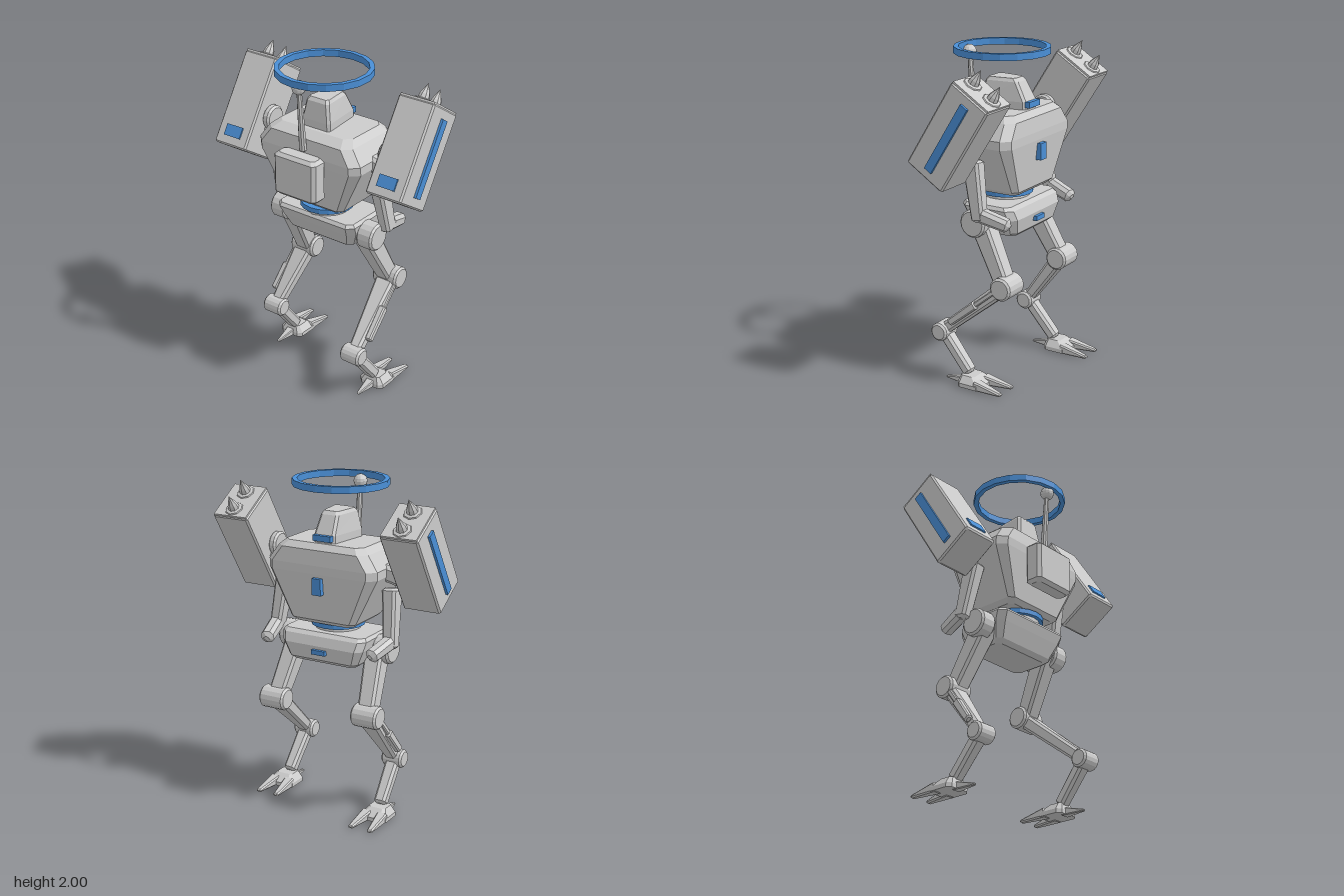
import * as THREE from 'three';

const grey = new THREE.MeshStandardMaterial({ color: 0xcccccc, flatShading: true });
const blue = new THREE.MeshStandardMaterial({ color: 0x4a8fd6, flatShading: true });
const V = (x, y, z) => new THREE.Vector3(x, y, z);

function add(parent, name, geometry, material = grey, x = 0, y = 0, z = 0) {
  const mesh = new THREE.Mesh(geometry, material);
  mesh.name = name;
  mesh.position.set(x, y, z);
  parent.add(mesh);
  return mesh;
}

// Stack of corner-cut rectangles: [y, half width, back z, front z, corner cut, half width at back z]
function loft(levels) {
  const rings = levels.map(([y, h, z0, z1, c, b = h]) => [
    V(-h + c, y, z1), V(h - c, y, z1), V(h, y, z1 - c), V(b, y, z0 + c),
    V(b - c, y, z0), V(-b + c, y, z0), V(-b, y, z0 + c), V(-h, y, z1 - c)]);
  const pos = [];
  const tri = (...pts) => pts.forEach(p => pos.push(p.x, p.y, p.z));
  for (let k = 0; k < rings.length - 1; k++) {
    for (let i = 0; i < 8; i++) {
      const j = (i + 1) % 8, lo = rings[k], hi = rings[k + 1];
      tri(lo[i], lo[j], hi[j]);
      tri(lo[i], hi[j], hi[i]);
    }
  }
  const bottom = rings[0], top = rings[rings.length - 1];
  for (let i = 1; i < 7; i++) {
    tri(top[0], top[i], top[i + 1]);
    tri(bottom[0], bottom[i + 1], bottom[i]);
  }
  const g = new THREE.BufferGeometry();
  g.setAttribute('position', new THREE.Float32BufferAttribute(pos, 3));
  g.computeVertexNormals();
  return g;
}

// Chamfered box centred on the origin
function chamferBox(w, h, d, c) {
  const level = (y, i) => [y, w / 2 - i, -d / 2 + i, d / 2 - i, c];
  return loft([level(-h / 2, c), level(-h / 2 + c, 0), level(h / 2 - c, 0), level(h / 2, c)]);
}

// Tapering chamfered limb from a to b; sizes are [width, depth]
function beam(parent, name, a, b, [wa, da], [wb, db], c = 0.015) {
  const len = a.distanceTo(b);
  const level = (y, w, d, i) => [y, w / 2 - i, -d / 2 + i, d / 2 - i, c];
  const mesh = add(parent, name, loft([
    level(0, wa, da, c), level(c, wa, da, 0), level(len - c, wb, db, 0), level(len, wb, db, c)]));
  const Y = b.clone().sub(a).normalize();
  const Z = V(1, 0, 0).cross(Y).normalize();
  const X = Y.clone().cross(Z);
  mesh.quaternion.setFromRotationMatrix(new THREE.Matrix4().makeBasis(X, Y, Z));
  mesh.position.copy(a);
}

// Cylinder lying along x with chamfered rims
function axle(parent, name, p, r, w, sides = 16) {
  const c = 0.012;
  const profile = [[0, -w / 2], [r - c, -w / 2], [r, -w / 2 + c], [r, w / 2 - c], [r - c, w / 2], [0, w / 2]];
  const g = new THREE.LatheGeometry(profile.map(q => new THREE.Vector2(...q)), sides);
  add(parent, name, g.rotateZ(Math.PI / 2), grey, p.x, p.y, p.z);
}

function buildBody(root) {
  add(root, 'torso', loft([
    [1.16, 0.19, -0.14, 0.17, 0.03], [1.185, 0.22, -0.165, 0.2, 0.03],
    [1.47, 0.365, -0.195, 0.255, 0.05], [1.52, 0.365, -0.195, 0.26, 0.05],
    [1.61, 0.3, -0.185, 0.245, 0.05], [1.645, 0.26, -0.15, 0.18, 0.04]]));
  add(root, 'chestLight', new THREE.BoxGeometry(0.06, 0.1, 0.035), blue, 0, 1.4, -0.2);
  add(root, 'backpack', chamferBox(0.3, 0.265, 0.115, 0.02), grey, 0, 1.4, 0.3);

  add(root, 'head', loft([
    [1.62, 0.1, -0.13, 0.155, 0.015, 0.07], [1.69, 0.1, -0.13, 0.155, 0.015, 0.07],
    [1.8, 0.08, -0.07, 0.14, 0.015, 0.06], [1.82, 0.068, -0.05, 0.125, 0.015, 0.05]]));
  add(root, 'visor', new THREE.BoxGeometry(0.12, 0.035, 0.04), blue, 0, 1.675, -0.135);

  // Antenna and the ring it carries
  beam(root, 'antennaRod', V(0, 1.54, 0.265), V(0, 1.94, 0.295), [0.04, 0.04], [0.03, 0.03], 0.01);
  add(root, 'antennaBall', new THREE.SphereGeometry(0.042, 12, 8), grey, 0, 1.94, 0.297);
  const ring = [[0.258, -0.02], [0.287, -0.02], [0.287, 0.02], [0.258, 0.02], [0.258, -0.02]];
  add(root, 'halo', new THREE.LatheGeometry(ring.map(q => new THREE.Vector2(...q)), 18), blue, 0, 1.976, 0.067);

  // Waist and pelvis
  add(root, 'waistRing', new THREE.CylinderGeometry(0.163, 0.163, 0.03, 18), blue, 0, 1.14, 0.04);
  add(root, 'waistDisc', new THREE.CylinderGeometry(0.14, 0.14, 0.03, 18), grey, 0, 1.112, 0.04);
  add(root, 'waistNeck', new THREE.CylinderGeometry(0.13, 0.07, 0.09, 18), grey, 0, 1.06, 0.04);
  add(root, 'pelvis', loft([
    [0.918, 0.21, -0.14, 0.09, 0.03], [0.94, 0.235, -0.165, 0.12, 0.03],
    [1.03, 0.275, -0.185, 0.165, 0.04], [1.085, 0.285, -0.165, 0.19, 0.04],
    [1.105, 0.27, -0.14, 0.175, 0.03]]));
  add(root, 'pelvisLight', new THREE.BoxGeometry(0.09, 0.028, 0.03), blue, 0, 0.995, -0.185);
}

function buildArm(root, s) {
  const arm = new THREE.Group();
  arm.name = s > 0 ? 'leftArm' : 'rightArm';
  root.add(arm);
  beam(arm, 'shoulder', V(s * 0.31, 1.5, 0.03), V(s * 0.45, 1.46, 0.03), [0.1, 0.14], [0.1, 0.12], 0.02);
  axle(arm, 'shoulderDisc', V(s * 0.42, 1.56, 0.03), 0.075, 0.05);
  beam(arm, 'upperArm', V(s * 0.365, 1.39, 0.035), V(s * 0.395, 1.04, -0.03), [0.09, 0.11], [0.075, 0.085]);
  beam(arm, 'forearm', V(s * 0.395, 1.085, -0.025), V(s * 0.355, 1.03, -0.21), [0.08, 0.085], [0.08, 0.075], 0.02);

  // Tilted launcher pod with two spikes
  const pod = new THREE.Group();
  pod.name = 'launcherPod';
  pod.position.set(s * 0.56, 1.59, 0);
  pod.rotation.x = -0.567;
  arm.add(pod);
  add(pod, 'podCase', chamferBox(0.24, 0.58, 0.276, 0.01));
  add(pod, 'podCap', new THREE.BoxGeometry(0.225, 0.02, 0.265), grey, 0, 0.288, 0);
  add(pod, 'sideStripe', new THREE.BoxGeometry(0.03, 0.46, 0.052), blue, s * 0.12, 0, -0.005);
  add(pod, 'podLight', new THREE.BoxGeometry(0.12, 0.07, 0.03), blue, 0, -0.2, 0.132);
  const spike = [[0, 0], [0.06, 0], [0.052, 0.012], [0.034, 0.016], [0.03, 0.04], [0, 0.105]];
  for (const z of [-0.072, 0.072]) {
    const g = new THREE.LatheGeometry(spike.map(q => new THREE.Vector2(...q)), 8);
    add(pod, 'spike', g, grey, 0, 0.292, z);
  }
}

function buildLeg(root, s, shift) {
  const leg = new THREE.Group();
  leg.name = s > 0 ? 'leftLeg' : 'rightLeg';
  root.add(leg);
  const hip = V(s * 0.325, 1.01, 0.04), knee = V(s * 0.32, 0.65, -0.165);
  const ankle = V(s * 0.363, 0.305, 0.255 + shift);
  axle(leg, 'hipJoint', hip, 0.085, 0.11);
  beam(leg, 'thigh', V(s * 0.27, 1.04, 0.055), V(s * 0.315, 0.64, -0.16), [0.12, 0.125], [0.105, 0.1]);
  axle(leg, 'kneeJoint', knee, 0.07, 0.17);
  beam(leg, 'shin', knee, ankle, [0.13, 0.085], [0.075, 0.07]);

  // Piston sleeve and rod on the outer side of the shin
  const along = t => knee.clone().lerp(ankle, t).add(V(s * 0.06, 0.015, 0));
  beam(leg, 'pistonRod', along(0.02), along(0.5), [0.03, 0.03], [0.03, 0.03], 0.006);
  beam(leg, 'pistonSleeve', along(0.4), along(0.82), [0.045, 0.05], [0.04, 0.045], 0.008);
  axle(leg, 'ankleJoint', ankle, 0.057, 0.135);
  beam(leg, 'lowerShin', ankle, V(s * 0.372, 0.07, 0.06 + shift), [0.085, 0.07], [0.075, 0.07]);

  // Foot with two front claws and one heel claw
  const foot = new THREE.Group();
  foot.name = 'foot';
  foot.position.set(s * 0.378, 0, 0.03 + shift);
  leg.add(foot);
  add(foot, 'footBase', loft([
    [0.005, 0.085, -0.09, 0.08, 0.025], [0.03, 0.085, -0.09, 0.08, 0.025],
    [0.072, 0.055, -0.03, 0.065, 0.015]]));
  for (const side of [-1, 1]) {
    beam(foot, 'toe', V(side * 0.05, 0.03, -0.04), V(side * 0.064, 0.011, -0.232), [0.065, 0.058], [0.035, 0.02], 0.008);
  }
  beam(foot, 'heelClaw', V(0, 0.026, 0.05), V(0, 0.009, 0.2), [0.06, 0.05], [0.02, 0.014], 0.005);
}

export function createModel() {
  const root = new THREE.Group();
  root.name = 'walkerRobot';
  buildBody(root);
  for (const s of [1, -1]) {
    buildArm(root, s);
    buildLeg(root, s, s > 0 ? 0 : -0.153); // the right foot steps ahead
  }
  return root;
}
